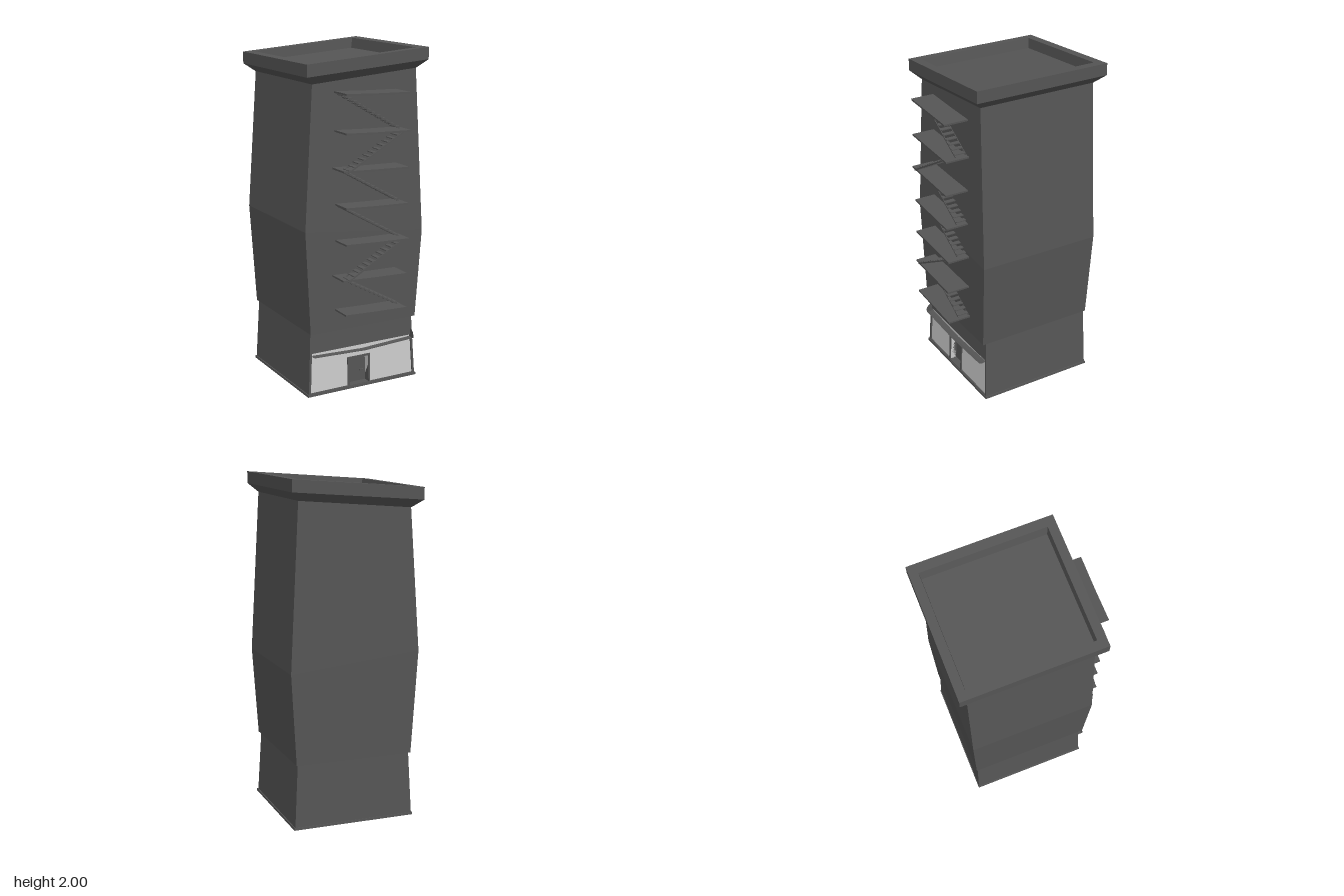
import * as THREE from 'three';

const dark = new THREE.MeshStandardMaterial({ color: 0x555555, flatShading: true });
const pale = new THREE.MeshStandardMaterial({ color: 0xcccccc, flatShading: true });

function add(parent, name, geometry, material = dark) {
  const mesh = new THREE.Mesh(geometry, material);
  mesh.name = name;
  parent.add(mesh);
  return mesh;
}

// Four corners, counterclockwise from above, with separate heights at both sides
const ring = (x0, x1, z0, z1, yl, yr = yl) =>
  [[x0, yl, z1], [x1, yr, z1], [x1, yr, z0], [x0, yl, z0]];

// Skin closed rings of equal point count and cap both ends
function loft(rings) {
  const pos = [];
  const tri = (a, b, c) => pos.push(...a, ...b, ...c);
  const n = rings[0].length;
  for (let r = 0; r < rings.length - 1; r++) {
    const a = rings[r], b = rings[r + 1];
    for (let i = 0; i < n; i++) {
      const j = (i + 1) % n;
      tri(a[i], a[j], b[j]);
      tri(a[i], b[j], b[i]);
    }
  }
  const first = rings[0], last = rings[rings.length - 1];
  for (let i = 1; i < n - 1; i++) {
    tri(first[0], first[i + 1], first[i]);
    tri(last[0], last[i], last[i + 1]);
  }
  const g = new THREE.BufferGeometry();
  g.setAttribute('position', new THREE.Float32BufferAttribute(pos, 3));
  g.computeVertexNormals();
  return g;
}

// Extruded outline whose front lies on the leaning street wall
function facade(outline, hole, depth, inset) {
  const pts = (list) => list.map(([x, y]) => new THREE.Vector2(x, y));
  const shape = new THREE.Shape(pts(outline));
  if (hole) shape.holes.push(new THREE.Path(pts(hole)));
  const g = new THREE.ExtrudeGeometry(shape, { depth, bevelEnabled: false });
  const p = g.attributes.position;
  for (let i = 0; i < p.count; i++) {
    p.setZ(i, p.getZ(i) - depth - inset + 0.305 - 0.04 * p.getY(i));
  }
  g.computeVertexNormals();
  return g;
}

function createGroundFloor() {
  const group = new THREE.Group();
  group.name = 'groundFloor';
  add(group, 'baseSlab', loft([
    ring(-0.371, 0.371, -0.42, 0.31, 0), ring(-0.37, 0.37, -0.419, 0.309, 0.014)]));
  add(group, 'groundFloorCore', loft([
    ring(-0.364, 0.364, -0.416, 0.235, 0.01), ring(-0.344, 0.344, -0.406, 0.225, 0.39)]));

  // Street wall with the shop opening
  const opening = [[-0.35, 0.018], [0.35, 0.018], [0.337, 0.26], [-0.337, 0.26]];
  add(group, 'streetWall', facade(
    [[-0.364, 0.01], [0.364, 0.01], [0.344, 0.39], [-0.344, 0.39]], opening, 0.075, 0));
  const doorway = [[-0.088, 0.018], [0.042, 0.018], [0.042, 0.182], [-0.088, 0.182]];
  add(group, 'shopFront', facade([
    [-0.35, 0.018], [-0.088, 0.018], [-0.088, 0.182], [0.042, 0.182],
    [0.042, 0.018], [0.35, 0.018], [0.337, 0.26], [-0.337, 0.26]], null, 0.05, 0.008), pale);
  add(group, 'doorFrame', facade([
    [-0.1, 0.014], [-0.088, 0.014], [-0.088, 0.182], [0.042, 0.182],
    [0.042, 0.014], [0.052, 0.014], [0.052, 0.193], [-0.1, 0.193]], null, 0.055, 0.001));
  add(group, 'door', facade(doorway, null, 0.015, 0.045));
  const handle = add(group, 'doorHandle', new THREE.BoxGeometry(0.026, 0.006, 0.012));
  handle.position.set(0.014, 0.085, 0.26);

  // Sagging ledge above the shop
  const profile = [[0.285, 0.05], [0.305, 0.05], [0.326, 0.035],
    [0.334, 0.017], [0.332, 0], [0.31, -0.005], [0.285, 0]];
  add(group, 'shopLedge', loft([[-0.336, 0.246], [0, 0.233], [0.336, 0.249]].map(
    ([x, y]) => profile.map(([z, h]) => [x, y + h, z]).reverse())));
  return group;
}

function createFireEscape() {
  const group = new THREE.Group();
  group.name = 'fireEscape';
  const levels = [0.508, 0.715, 0.922, 1.133, 1.343, 1.552, 1.768];
  const outer = [1, 4]; // flights that climb to the right on the outer side

  levels.forEach((y, i) => {
    const left = outer.includes(i) ? -0.215 : -0.198;
    const right = outer.includes(i - 1) ? 0.215 : 0.202;
    const section = (x, h, z) => [[x, y + h - 0.005, 0.3], [x, y + h + 0.005, 0.3],
      [x, y + h + 0.005, z], [x, y + h - 0.005, z]];
    add(group, 'landing', loft([
      section(left, 0.007, 0.45), section(0, -0.001, 0.453), section(right, -0.005, 0.459),
    ]));
  });

  for (let i = 0; i < levels.length - 1; i++) {
    const isOuter = outer.includes(i);
    const flight = new THREE.Group();
    flight.name = 'stairFlight';
    const dir = isOuter ? 1 : -1;
    const rise = levels[i + 1] - levels[i];
    const run = 0.37;
    const z = isOuter ? 0.418 : 0.351;
    for (const side of [-1, 1]) {
      const rail = add(flight, 'stringer',
        new THREE.BoxGeometry(Math.hypot(run, rise), 0.008, 0.004));
      rail.position.set(0, levels[i] + rise / 2, z + side * 0.033);
      rail.rotation.z = Math.atan2(rise, run) * dir;
    }
    const steps = 12;
    for (let s = 0; s < steps; s++) {
      const t = (s + 0.5) / steps;
      const tread = add(flight, 'tread', new THREE.BoxGeometry(0.028, 0.005, 0.066));
      tread.position.set(dir * run * (t - 0.5), levels[i] + rise * t + 0.003, z);
    }
    group.add(flight);
  }
  return group;
}

export function createModel() {
  const model = new THREE.Group();
  model.name = 'apartmentBuilding';
  model.add(createGroundFloor());

  // Bulging upper storeys with a slanted top
  add(model, 'upperStoreys', loft([
    ring(-0.355, 0.353, -0.415, 0.315, 0.385),
    ring(-0.39, 0.387, -0.428, 0.325, 1.0, 0.92),
    ring(-0.335, 0.335, -0.415, 0.31, 1.83, 1.885)]));

  // Flared cornice and sunken roof
  add(model, 'roofCornice', loft([
    ring(-0.336, 0.336, -0.416, 0.311, 1.825, 1.88),
    ring(-0.392, 0.388, -0.468, 0.361, 1.87, 1.93),
    ring(-0.392, 0.388, -0.468, 0.361, 1.94, 2.0),
    ring(-0.339, 0.332, -0.417, 0.309, 1.944, 1.996),
    ring(-0.327, 0.321, -0.411, 0.303, 1.885, 1.935)]));

  model.add(createFireEscape());
  return model;
}
